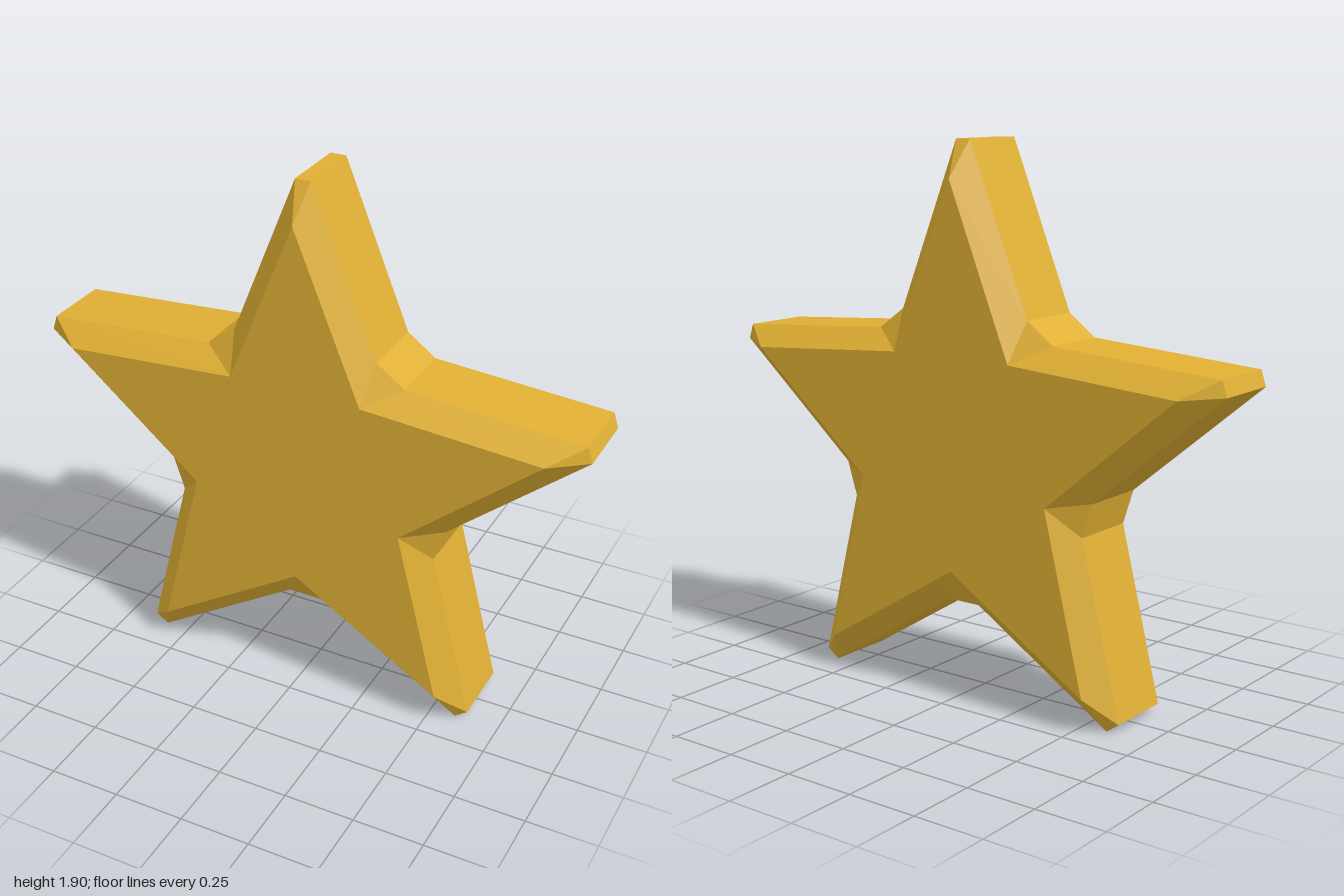
import * as THREE from 'three';

const CENTRE_Y = 0.86;
const FACE_Z = 0.197;
const RIM_Z = 0.122;

// Point at a radius along an angle, shifted sideways by `side`
function polar(angle, radius, side, z) {
  const c = Math.cos(angle), s = Math.sin(angle);
  return [c * radius - s * side, CENTRE_Y + s * radius + c * side, z];
}

// Unshared triangles, so every facet is flat
function facets(triangles) {
  const geometry = new THREE.BufferGeometry();
  geometry.setAttribute('position', new THREE.Float32BufferAttribute(triangles.flat(2), 3));
  geometry.computeVertexNormals();
  return geometry;
}

export function createModel() {
  const gold = new THREE.MeshStandardMaterial({ color: 0xe0b034 });
  gold.name = 'gold';
  const star = new THREE.Group();
  star.name = 'star';

  // Ten corners: sharp on the faces, clipped in two along the rim
  const corners = (sign) => Array.from({ length: 10 }, (_, k) => {
    const angle = Math.PI / 2 + k * Math.PI / 5;
    const tip = k % 2 === 0;
    const radius = tip ? 1.042 : 0.53;
    const half = tip ? 0.028 : 0.063;
    return {
      face: polar(angle, tip ? 0.915 : 0.405, 0, sign * FACE_Z),
      a: polar(angle, radius, -half, sign * RIM_Z),
      b: polar(angle, radius, half, sign * RIM_Z),
    };
  });
  const front = corners(1), back = corners(-1);

  const add = (name, triangles) => {
    const mesh = new THREE.Mesh(facets(triangles), gold);
    mesh.name = name;
    star.add(mesh);
  };

  // Flat star face and its bevel, front and back
  for (const [side, ring, sign] of [['front', front, 1], ['back', back, -1]]) {
    const wind = (p, q, r) => (sign > 0 ? [p, q, r] : [p, r, q]);
    const face = [], bevel = [];
    ring.forEach((p, k) => {
      const n = ring[(k + 1) % 10];
      face.push(wind([0, CENTRE_Y, sign * FACE_Z], p.face, n.face));
      bevel.push(wind(p.face, p.a, p.b), wind(p.face, p.b, n.a), wind(p.face, n.a, n.face));
    });
    add(side + 'Face', face);
    add(side + 'Bevel', bevel);
  }

  // Straight rim between the two bevels
  const rim = [];
  const quad = (p, q, r, s) => rim.push([p, q, r], [p, r, s]);
  front.forEach((f, k) => {
    const b = back[k], fn = front[(k + 1) % 10], bn = back[(k + 1) % 10];
    quad(f.a, b.a, b.b, f.b);
    quad(f.b, b.b, bn.a, fn.a);
  });
  add('rim', rim);

  return star;
}
